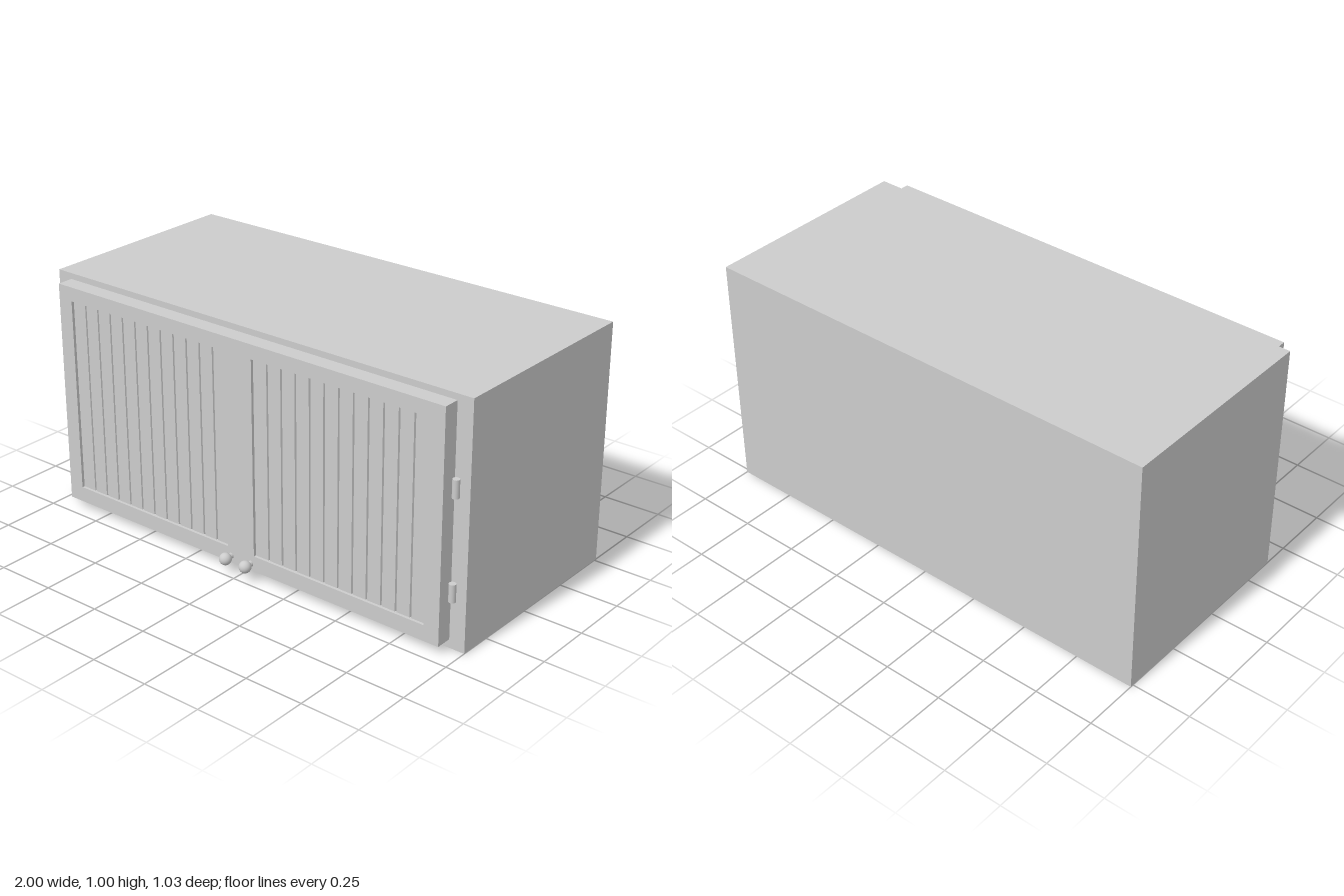
import * as THREE from 'three';

const material = new THREE.MeshStandardMaterial({ color: 0xcccccc });

function add(parent, name, geometry, x = 0, y = 0, z = 0) {
  const mesh = new THREE.Mesh(geometry, material);
  mesh.name = name;
  mesh.position.set(x, y, z);
  parent.add(mesh);
  return mesh;
}

function rectangle(target, x0, y0, x1, y1) {
  target.moveTo(x0, y0);
  target.lineTo(x1, y0);
  target.lineTo(x1, y1);
  target.lineTo(x0, y1);
  target.closePath();
  return target;
}

// Door frame with a rectangular opening
function frameGeometry(x0, x1, open) {
  const shape = rectangle(new THREE.Shape(), x0, 0.035, x1, 0.975);
  shape.holes.push(rectangle(new THREE.Path(), open.x0, open.y0, open.x1, open.y1));
  return new THREE.ExtrudeGeometry(shape, { depth: 0.068, bevelEnabled: false });
}

// Plank panel: a plan profile with narrow grooves, extruded upward
function panelGeometry(open, planks) {
  const front = 0.056, groove = 0.004, depth = 0.012;
  const pitch = (open.x1 - open.x0) / planks;
  const shape = new THREE.Shape();
  shape.moveTo(open.x0, 0);
  shape.lineTo(open.x0, -front);
  for (let i = 1; i < planks; i++) {
    const x = open.x0 + i * pitch;
    shape.lineTo(x - groove, -front);
    shape.lineTo(x, -front + depth);
    shape.lineTo(x + groove, -front);
  }
  shape.lineTo(open.x1, -front);
  shape.lineTo(open.x1, 0);
  shape.closePath();
  const geometry = new THREE.ExtrudeGeometry(shape, { depth: open.y1 - open.y0, bevelEnabled: false });
  return geometry.rotateX(-Math.PI / 2);
}

export function createModel() {
  const cabinet = new THREE.Group();
  cabinet.name = 'cabinet';
  const faceZ = 0.387;

  // Carcass
  add(cabinet, 'body', new THREE.BoxGeometry(2, 1, 0.9), 0, 0.5, faceZ - 0.45);

  for (const side of [-1, 1]) {
    const door = new THREE.Group();
    door.name = side > 0 ? 'leftDoor' : 'rightDoor';
    cabinet.add(door);

    const [x0, x1] = side > 0 ? [0, 0.933] : [-0.933, 0];
    const [a, b] = side > 0 ? [0.066, 0.866] : [-0.866, -0.066];
    const open = { x0: a, x1: b, y0: 0.1, y1: 0.916 };
    add(door, 'doorFrame', frameGeometry(x0, x1, open), 0, 0, faceZ);
    add(door, 'plankPanel', panelGeometry(open, 12), 0, open.y0, faceZ);

    // Round knob on a short stem
    const stem = new THREE.CylinderGeometry(0.012, 0.012, 0.03, 24).rotateX(Math.PI / 2);
    add(door, 'knobStem', stem, side * 0.05, 0.064, 0.465);
    add(door, 'knob', new THREE.SphereGeometry(0.025, 32, 20), side * 0.05, 0.064, 0.489);

    // Hinge barrels
    for (const y of [0.239, 0.651]) {
      add(door, 'hinge', new THREE.CylinderGeometry(0.014, 0.014, 0.073, 24), side * 0.948, y, 0.4);
    }
  }
  return cabinet;
}
